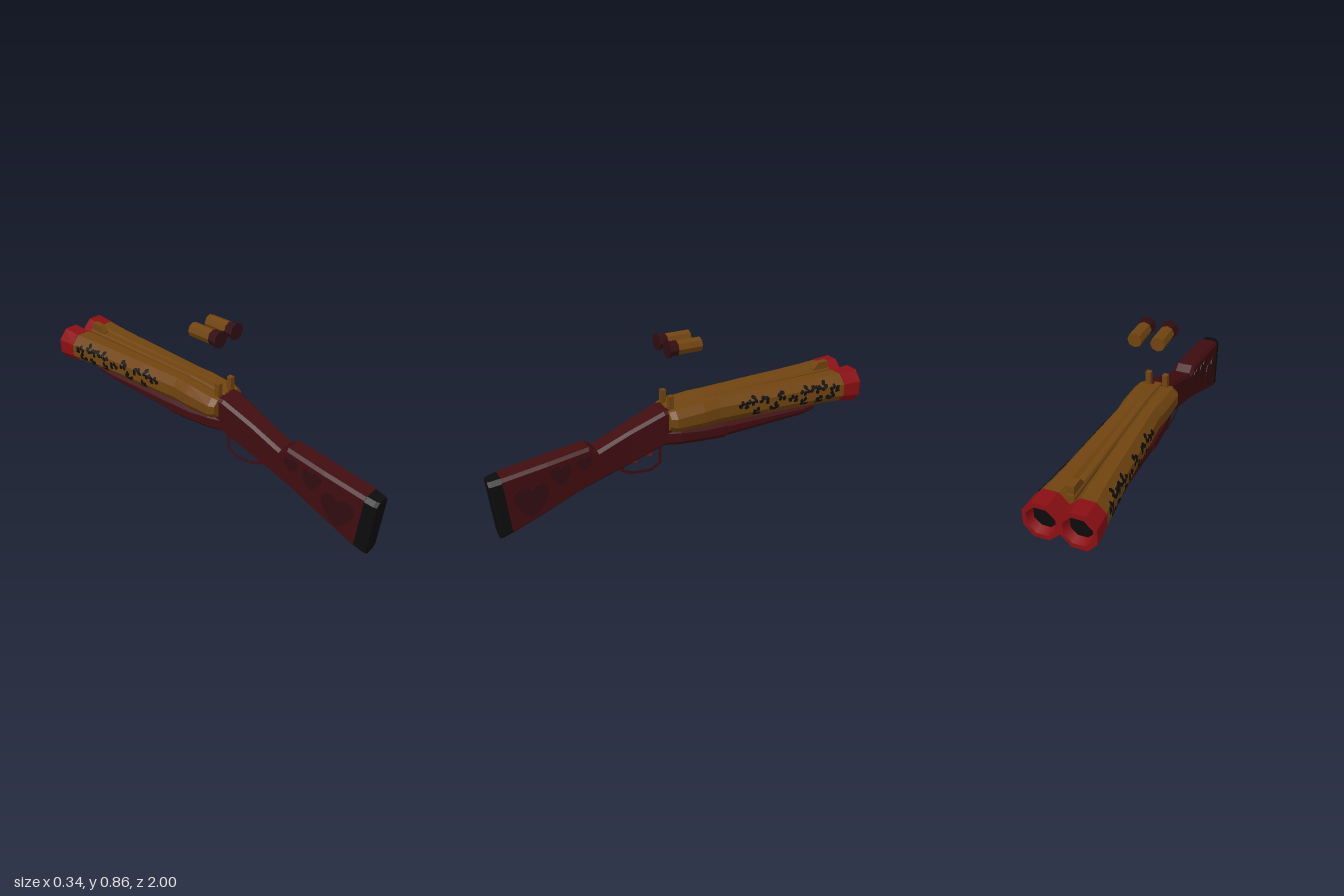
import * as THREE from 'three';

const mat = (name, color, side = THREE.FrontSide) => {
  const m = new THREE.MeshStandardMaterial({ color, side });
  m.name = name;
  return m;
};

// Flat-shaded skin over matching rings; sections run from +z to -z.
function loft(rings, capStart = true, capEnd = true) {
  const pos = [];
  const tri = (a, b, c) => pos.push(...a, ...b, ...c);
  const n = rings[0].length;
  const middle = r => [0, 1, 2].map(k => r.reduce((s, p) => s + p[k], 0) / n);
  const first = rings[0], last = rings[rings.length - 1];
  for (let j = 0; j < n; j++) {
    const k = (j + 1) % n;
    for (let i = 0; i < rings.length - 1; i++) {
      const a = rings[i], b = rings[i + 1];
      tri(a[j], a[k], b[k]);
      tri(a[j], b[k], b[j]);
    }
    if (capStart) tri(middle(first), first[k], first[j]);
    if (capEnd) tri(middle(last), last[j], last[k]);
  }
  const g = new THREE.BufferGeometry();
  g.setAttribute('position', new THREE.Float32BufferAttribute(pos, 3));
  g.computeVertexNormals();
  return g;
}

// Completes a half outline (top centre, down the +x side, bottom centre).
const mirrorRing = half => [...half, ...half.slice(1, -1).reverse().map(([x, y, z]) => [-x, y, z])];

// Chamfered block section whose top and bottom may sit at different z.
function blockRing([zTop, yTop, zBot, yBot, w, c]) {
  const at = (x, y) => [x, y, zBot + (zTop - zBot) * (y - yBot) / (yTop - yBot)];
  return mirrorRing([at(0, yTop), at(w - c, yTop), at(w, yTop - c), at(w, yBot + c), at(w - c, yBot), at(0, yBot)]);
}

// Two fused octagonal tubes with a groove between them.
function twinRing([z, w, bot, top, notch]) {
  const h = top - bot;
  return mirrorRing([[0, top - notch], [0.3 * w, top], [0.73 * w, top], [w, top - 0.29 * h],
    [w, bot + 0.29 * h], [0.73 * w, bot], [0.3 * w, bot], [0, bot + notch]].map(([x, y]) => [x, y, z]));
}

// Side profile given in (z, y), extruded across x and centred at x.
function sidePlate(shape, width, x = 0) {
  const g = new THREE.ExtrudeGeometry(shape, { depth: width, bevelEnabled: false, curveSegments: 6 });
  return g.rotateY(-Math.PI / 2).translate(x + width / 2, 0, 0);
}
const poly = pts => new THREE.Shape(pts.map(p => new THREE.Vector2(...p)));

const BARREL = [
  [0.10, 0.102, 0.40, 0.495, 0.003], [0.07, 0.117, 0.387, 0.503, 0.005], [-0.08, 0.117, 0.38, 0.517, 0.01],
  [-0.17, 0.109, 0.38, 0.52, 0.015], [-0.4, 0.123, 0.38, 0.524, 0.02], [-0.65, 0.137, 0.378, 0.526, 0.03],
  [-0.8, 0.15, 0.377, 0.528, 0.04], [-0.9, 0.163, 0.375, 0.53, 0.045]];

// Half-width of the barrel skin at a height and distance.
function barrelX(z, y) {
  let i = 0;
  while (i < BARREL.length - 2 && z < BARREL[i + 1][0]) i++;
  const a = BARREL[i], b = BARREL[i + 1], t = (z - a[0]) / (b[0] - a[0]);
  const [, w, bot, top] = a.map((v, k) => v + (b[k] - v) * t);
  const s = Math.abs((y - bot) / (top - bot) - 0.5) - 0.21;
  return s > 0 ? w * (1 - 0.27 * s / 0.29) : w;
}

export function createModel() {
  const root = new THREE.Group();
  root.name = 'doubleBarrelShotgun';
  const brass = mat('brass', 0x70440f);
  const wood = mat('darkRedWood', 0x400d10);
  const maroon = mat('deepMaroon', 0x310d11);
  const red = mat('red', 0x8a0f13, THREE.DoubleSide);
  const black = mat('black', 0x0c0c0c, THREE.DoubleSide);
  const add = (name, geometry, material, parent = root) => {
    const m = new THREE.Mesh(geometry, material);
    m.name = name;
    parent.add(m);
    return m;
  };

  // Stock and butt pad
  add('buttPad', loft([
    [1.0, 0.318, 0.97, 0.004, 0.044, 0.02], [0.985, 0.322, 0.955, 0.01, 0.052, 0.02],
    [0.94, 0.329, 0.91, 0.027, 0.056, 0.02]].map(blockRing)), black);
  add('stock', loft([
    [0.94, 0.329, 0.91, 0.027, 0.055, 0.015], [0.72, 0.36, 0.72, 0.104, 0.058, 0.015],
    [0.51, 0.39, 0.57, 0.163, 0.055, 0.015], [0.47, 0.36, 0.42, 0.21, 0.055, 0.015],
    [0.3, 0.43, 0.3, 0.25, 0.06, 0.015], [0.12, 0.498, 0.12, 0.313, 0.07, 0.015],
    [0.07, 0.5, 0.07, 0.31, 0.07, 0.015]].map(blockRing)), wood);

  // Receiver and fore-end
  add('receiver', loft([
    [0.12, 0.4, 0.12, 0.312, 0.068, 0.02], [0.04, 0.4, 0.04, 0.303, 0.088, 0.025],
    [-0.08, 0.395, -0.08, 0.295, 0.098, 0.03], [-0.22, 0.395, -0.22, 0.288, 0.1, 0.03]].map(blockRing)), wood);
  add('foreEnd', loft([
    [-0.22, 0.39, -0.22, 0.291, 0.096, 0.032], [-0.7, 0.388, -0.7, 0.312, 0.096, 0.03],
    [-0.775, 0.385, -0.765, 0.32, 0.085, 0.025]].map(blockRing)), wood);

  // Heart inlays on both sides of the stock
  const hearts = [[0.81, 0.185, 0.17, 0.058], [0.66, 0.285, 0.105, 0.058], [0.54, 0.315, 0.075, 0.056]];
  for (const [z, y, s, x] of hearts) {
    const h = new THREE.Shape();
    const p = (a, b) => [z + a * s, y + b * s];
    h.moveTo(...p(0, 0.32));
    h.bezierCurveTo(...p(0.15, 0.62), ...p(0.55, 0.5), ...p(0.5, 0.12));
    h.quadraticCurveTo(...p(0.42, -0.2), ...p(0, -0.52));
    h.quadraticCurveTo(...p(-0.42, -0.2), ...p(-0.5, 0.12));
    h.bezierCurveTo(...p(-0.55, 0.5), ...p(-0.15, 0.62), ...p(0, 0.32));
    for (const side of [1, -1]) add('heartInlay', sidePlate(h, 0.009, side * x), maroon);
  }

  // Barrels and top rib
  add('barrels', loft(BARREL.map(twinRing)), brass);
  const ribRing = ([z, top]) => mirrorRing([[0, top, z], [0.016, top, z], [0.023, top - 0.01, z],
    [0.023, 0.44, z], [0, 0.44, z]]);
  add('topRib', loft([[0.095, 0.507], [-0.13, 0.526], [-0.9, 0.533]].map(ribRing)), brass);

  // Sights
  add('frontSight', sidePlate(poly([[-0.8, 0.51], [-0.8, 0.537], [-0.83, 0.57], [-0.89, 0.57], [-0.89, 0.51]]), 0.034), brass);
  for (const s of [1, -1]) {
    add('rearSight', new THREE.BoxGeometry(0.027, 0.09, 0.027).translate(s * 0.045, 0.525, 0.078), brass);
  }

  // Flared muzzle with two bevelled bores
  const muzzle = new THREE.Group();
  muzzle.name = 'muzzle';
  root.add(muzzle);
  const rings = [[-0.898, 0.165, 0.373, 0.532, 0.045], [-1, 0.168, 0.357, 0.538, 0.05]].map(twinRing);
  add('muzzleCollar', loft(rings, true, false), red, muzzle);
  const face = poly(rings[1].map(([x, y]) => [x, y]));
  for (const s of [1, -1]) {
    const cx = s * 0.083, cy = 0.447;
    face.holes.push(new THREE.Path([...Array(8)].map((_, i) => {
      const a = (i + 0.5) * Math.PI / 4;
      return new THREE.Vector2(cx + 0.073 * Math.cos(a), cy + 0.073 * Math.sin(a));
    })));
    add('boreBevel', new THREE.CylinderGeometry(0.073, 0.058, 0.04, 8, 1, true).toNonIndexed()
      .rotateY(Math.PI / 8).rotateX(-Math.PI / 2).translate(cx, cy, -0.98), red, muzzle);
    add('bore', new THREE.CircleGeometry(0.06, 8).rotateZ(Math.PI / 8).rotateY(Math.PI)
      .translate(cx, cy, -0.961), black, muzzle);
  }
  add('muzzleFace', new THREE.ShapeGeometry(face).translate(0, 0, -1), red, muzzle);

  // Broken-ring spots wrapped on the barrel sides
  const spots = [[-0.30, 0.465], [-0.35, 0.487], [-0.38, 0.42], [-0.42, 0.475], [-0.475, 0.435], [-0.525, 0.482],
    [-0.59, 0.452], [-0.66, 0.487], [-0.66, 0.425], [-0.72, 0.48], [-0.77, 0.494], [-0.755, 0.422],
    [-0.84, 0.47], [-0.815, 0.437]];
  for (const side of [1, -1]) {
    const pos = [];
    const vert = (z, y) => pos.push(side * (barrelX(z, y) + 0.005), y, z);
    spots.forEach(([z, y], n) => {
      for (let b = 0; b < 4; b++) {
        const a = n * 2.1 + b * 1.25;
        const bz = z + 0.019 * Math.cos(a), by = y + 0.015 * Math.sin(a);
        const edge = i => {
          const t = i * Math.PI / 3 + n, r = 0.0125 + 0.003 * Math.sin(n * 3 + b * 5 + (i % 6) * 2);
          return [bz + r * Math.cos(t), by + r * Math.sin(t)];
        };
        for (let i = 0; i < 6; i++) {
          const rim = [edge(i), edge(i + 1)];
          if (side > 0) rim.reverse();
          vert(bz, by);
          rim.forEach(p => vert(...p));
        }
      }
    });
    const g = new THREE.BufferGeometry();
    g.setAttribute('position', new THREE.Float32BufferAttribute(pos, 3));
    g.computeVertexNormals();
    add('barrelSpots', g, black);
  }

  // Trigger guard and paired triggers
  const guard = poly([[0.345, 0.265], [0.34, 0.2], [0.29, 0.174], [0.18, 0.164], [0.12, 0.198], [0.12, 0.34]]);
  guard.holes.push(poly([[0.328, 0.252], [0.325, 0.209], [0.283, 0.189], [0.185, 0.179], [0.136, 0.207], [0.136, 0.325]]));
  add('triggerGuard', sidePlate(guard, 0.044), wood);
  for (const [z, y] of [[0.275, 0.255], [0.195, 0.275]]) {
    add('trigger', sidePlate(poly([[z + 0.028, y + 0.03], [z + 0.022, y - 0.012], [z - 0.02, y - 0.03],
      [z - 0.03, y - 0.02], [z - 0.008, y + 0.03]]), 0.022), red);
  }

  // Two loose shells floating above
  for (const s of [1, -1]) {
    const shell = new THREE.Group();
    shell.name = 'shell';
    shell.position.set(s * 0.058, 0.818, 0);
    root.add(shell);
    const tube = (name, r, z0, z1, m) => {
      const g = new THREE.CylinderGeometry(r, r, z1 - z0, 8).toNonIndexed().rotateX(Math.PI / 2);
      g.computeVertexNormals();
      add(name, g.translate(0, 0, (z0 + z1) / 2), m, shell);
    };
    tube('shellCase', 0.037, -0.072, 0.056, brass);
    tube('shellBase', 0.039, 0.055, 0.097, maroon);
    tube('shellRim', 0.045, 0.094, 0.102, maroon);
  }
  return root;
}
